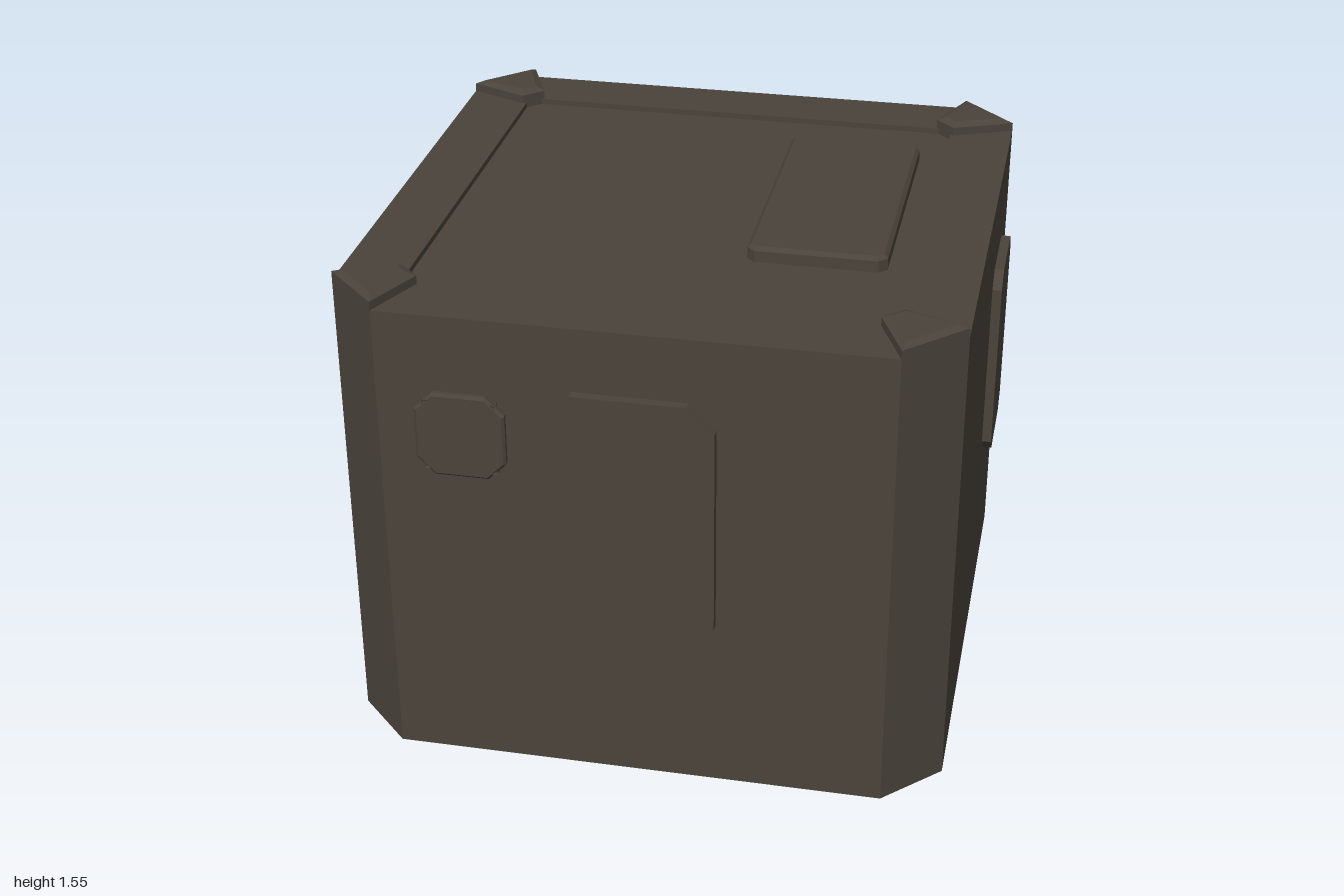
import * as THREE from 'three';

const CX = 0.005, CZ = 0.045, HALF = 0.925, CUT = 0.17, TOP = 1.51, FLOOR = 1.492, RIM = 0.2;

// outline of a rectangle with cut corners, counter-clockwise
function cutRect(w, h, c) {
  const a = w / 2, b = h / 2;
  if (!c) return [[-a, -b], [a, -b], [a, b], [-a, b]];
  return [[-a + c, -b], [a - c, -b], [a, -b + c], [a, b - c], [a - c, b], [-a + c, b], [-a, b - c], [-a, -b + c]];
}
const toShape = pts => new THREE.Shape(pts.map(p => new THREE.Vector2(p[0], p[1])));

// plate centred on its own origin, facing +z, with an optional bevel
function plateGeometry(shape, depth, bevel = 0) {
  const geo = new THREE.ExtrudeGeometry(shape, {
    depth: depth - 2 * bevel, bevelEnabled: bevel > 0, bevelThickness: bevel,
    bevelSize: bevel, bevelOffset: -bevel, bevelSegments: 1,
  });
  return geo.translate(0, 0, bevel - depth / 2);
}

// open band of vertical faces along an outline seen from above
function bandGeometry(pts, y0, y1) {
  const v = [];
  pts.forEach(([ax, ay], i) => {
    const [bx, by] = pts[(i + 1) % pts.length];
    v.push(ax, y0, -ay, bx, y0, -by, bx, y1, -by, ax, y0, -ay, bx, y1, -by, ax, y1, -ay);
  });
  const geo = new THREE.BufferGeometry();
  geo.setAttribute('position', new THREE.Float32BufferAttribute(v, 3));
  geo.computeVertexNormals();
  return geo;
}

// pipe: a cylinder whose rings are moved along a bent path
function pipeGeometry() {
  const path = [[0.21, -0.957, 0], [0.92, -0.957, 22.5], [0.952, -0.925, 67.5], [0.952, -0.86, 90]];
  const geo = new THREE.CylinderGeometry(0.042, 0.042, 3, 8, 3);
  const p = geo.attributes.position;
  for (let i = 0; i < p.count; i++) {
    const [y, z, deg] = path[Math.round(p.getY(i) + 1.5)];
    const t = THREE.MathUtils.degToRad(deg), lz = p.getZ(i);
    p.setXYZ(i, p.getX(i), y - lz * Math.sin(t), z + lz * Math.cos(t));
  }
  geo.computeVertexNormals();
  return geo;
}

export function createModel() {
  const model = new THREE.Group();
  model.name = 'crate';
  const darkBrown = new THREE.MeshStandardMaterial({ color: 0x4a433b, flatShading: true, side: THREE.DoubleSide });
  darkBrown.name = 'dark brown';
  const add = (name, geo, x = 0, y = 0, z = 0, parent = model) => {
    const mesh = new THREE.Mesh(geo, darkBrown);
    mesh.name = name;
    mesh.position.set(x, y, z);
    parent.add(mesh);
    return mesh;
  };

  // thin shell, open underneath
  const body = new THREE.Group();
  body.name = 'body';
  body.position.set(CX, 0, CZ);
  model.add(body);
  const outline = cutRect(2 * HALF, 2 * HALF, CUT);
  const inner = cutRect(2 * (HALF - RIM), 2 * (HALF - RIM), 0);
  add('walls', bandGeometry(outline, 0, TOP), 0, 0, 0, body);

  // roof rim with a slightly sunken panel
  const rim = toShape(outline);
  rim.holes.push(new THREE.Path(inner.map(p => new THREE.Vector2(p[0], p[1]))));
  add('roofRim', new THREE.ShapeGeometry(rim).rotateX(-Math.PI / 2), 0, TOP, 0, body);
  add('roofStep', bandGeometry([...inner].reverse(), FLOOR, TOP), 0, 0, 0, body);
  add('roofPanel', new THREE.ShapeGeometry(toShape(inner)).rotateX(-Math.PI / 2), 0, FLOOR, 0, body);

  // bevelled corner caps
  const kite = [[0, CUT], [CUT, 0], [0.25, 0.19], [0.19, 0.25]];
  for (const sx of [-1, 1]) for (const sz of [-1, 1]) {
    const shape = toShape(kite.map(([u, v]) => [sx * (HALF - u), sz * (HALF - v)]));
    const geo = new THREE.ExtrudeGeometry(shape, {
      depth: 0.045, bevelThickness: 0.012, bevelSize: 0.025, bevelOffset: -0.025, bevelSegments: 1,
    });
    add('cornerCap', geo.rotateX(-Math.PI / 2), 0, 1.492, 0, body);
  }

  // hatch on the roof
  add('roofHatch', plateGeometry(toShape(cutRect(0.42, 0.88, 0.025)), 0.06, 0.012).rotateX(-Math.PI / 2), 0.44, 1.51, -0.03);

  // plates on the walls
  add('frontPlate', plateGeometry(toShape(cutRect(0.5, 0.82, 0.08)), 0.06), 0, 0.9, 0.97);
  add('leftPlate', plateGeometry(toShape(cutRect(0.36, 0.66, 0.05)), 0.06).rotateY(Math.PI / 2), 0.93, 0.9, -0.355);
  add('rightPlate', plateGeometry(toShape(cutRect(0.36, 0.42, 0)), 0.08).rotateY(Math.PI / 2), -0.92, 0.65, -0.08);

  // small framed window on the front
  const frame = toShape(cutRect(0.27, 0.27, 0.055));
  frame.holes.push(new THREE.Path(cutRect(0.2, 0.21, 0).map(p => new THREE.Vector2(p[0], p[1]))));
  add('windowFrame', plateGeometry(frame, 0.04, 0.008), -0.5, 1.135, 0.97);
  add('windowPane', new THREE.BoxGeometry(0.22, 0.23, 0.02), -0.5, 1.135, 0.965);

  // bent pipes on the back
  for (const x of [-0.64, -0.14]) add('backPipe', pipeGeometry(), x);

  return model;
}
